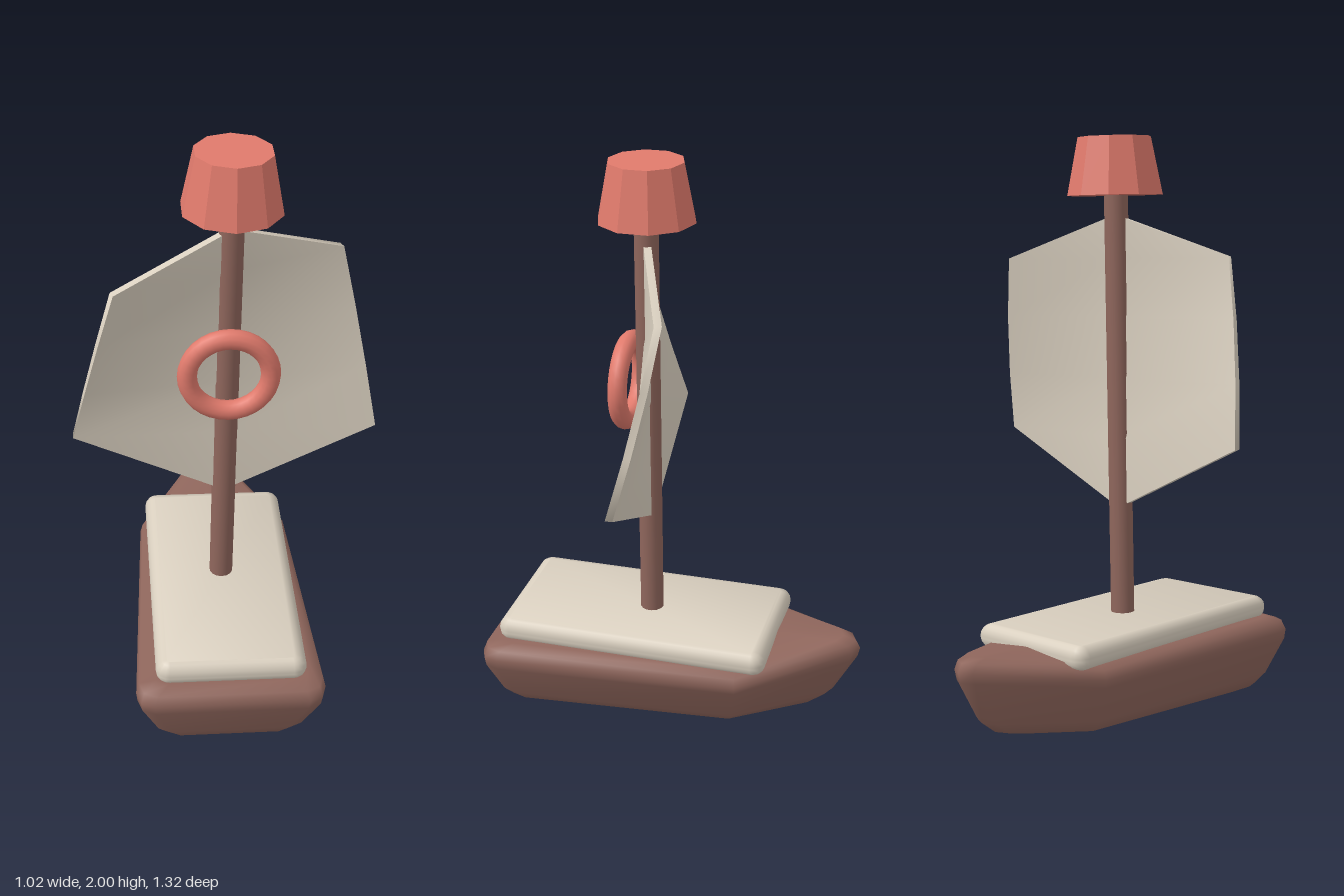
import * as THREE from 'three';

const mat = (name, color) => {
  const m = new THREE.MeshStandardMaterial({ color });
  m.name = name;
  return m;
};

// Hull lofted through horizontal outlines, rising toward the pointed bow (-z)
function hullGeometry() {
  // [stern z, stern half width, shoulder half width, shoulder z, bow z, y stern, y shoulder, y bow]
  const levels = [
    [0.55, 0.18, 0.14, -0.2, -0.42, 0.008, 0.024, 0.045],
    [0.59, 0.23, 0.185, -0.23, -0.51, 0.03, 0.045, 0.068],
    [0.612, 0.262, 0.22, -0.25, -0.57, 0.07, 0.085, 0.115],
    [0.652, 0.318, 0.272, -0.27, -0.652, 0.2, 0.215, 0.265],
    [0.656, 0.322, 0.276, -0.27, -0.66, 0.235, 0.24, 0.3],
    [0.643, 0.312, 0.268, -0.27, -0.645, 0.27, 0.272, 0.328],
    [0.6, 0.27, 0.235, -0.27, -0.6, 0.288, 0.29, 0.342],
  ];
  const pos = [], idx = [];
  for (const [zs, ws, wm, zm, zb, ys, ym, yb] of levels) {
    const half = [
      [ws - 0.06, ys, zs], [ws - 0.016, ys, zs - 0.02], [ws, ys, zs - 0.07],
      [wm, ym, zm], [0.045, yb, zb + 0.022],
    ];
    const mirrored = half.map(([x, y, z]) => [-x, y, z]).reverse();
    pos.push(...[...half, [0, yb, zb], ...mirrored].flat());
  }
  const n = 11, top = levels.length - 1;
  for (let l = 0; l < top; l++) {
    for (let i = 0; i < n; i++) {
      const j = (i + 1) % n, a = l * n + i, b = l * n + j;
      idx.push(a, b, b + n, a, b + n, a + n);
    }
  }
  const c = pos.length / 3;
  pos.push(0, 0.022, -0.15, 0, 0.32, -0.32);
  for (let i = 0; i < n; i++) {
    const j = (i + 1) % n;
    idx.push(c, j, i, c + 1, top * n + i, top * n + j);
  }
  const g = new THREE.BufferGeometry();
  g.setAttribute('position', new THREE.Float32BufferAttribute(pos, 3));
  g.setIndex(idx);
  g.computeVertexNormals();
  return g;
}

// Six-cornered thin sail whose upper corners are twisted about the mast
function sailGeometry() {
  // rows from top to bottom: [y, half width, twist]
  const rows = [
    [1.737, 0, 0.37], [1.592, 0.405, 0.37], [1.386, 0.441, 0.257],
    [1.179, 0.476, 0.143], [0.972, 0.512, 0.03], [0.727, 0, 0.03],
  ];
  const last = rows.length - 1;
  const g = new THREE.BoxGeometry(2, 1, 0.025, 2, last, 1);
  const p = g.attributes.position;
  for (let i = 0; i < p.count; i++) {
    const [y, w, a] = rows[Math.round((0.5 - p.getY(i)) * last)];
    const x = p.getX(i) * w, z = p.getZ(i);
    p.setXYZ(i, x * Math.cos(a) + z * Math.sin(a), y, z * Math.cos(a) - x * Math.sin(a));
  }
  g.computeVertexNormals();
  return g;
}

// Rounded slab: bevelled extrusion laid flat
function deckGeometry(w, h, d, r) {
  const x = w / 2 - r, z = d / 2 - r, c = 0.012;
  const s = new THREE.Shape();
  s.moveTo(-x + c, -z);
  s.lineTo(x - c, -z);
  s.quadraticCurveTo(x, -z, x, -z + c);
  s.lineTo(x, z - c);
  s.quadraticCurveTo(x, z, x - c, z);
  s.lineTo(-x + c, z);
  s.quadraticCurveTo(-x, z, -x, z - c);
  s.lineTo(-x, -z + c);
  s.quadraticCurveTo(-x, -z, -x + c, -z);
  const g = new THREE.ExtrudeGeometry(s, {
    depth: h - 2 * r, bevelEnabled: true, bevelSize: r, bevelThickness: r, bevelSegments: 4, curveSegments: 4,
  });
  g.translate(0, 0, -(h - 2 * r) / 2);
  g.rotateX(-Math.PI / 2);
  // smooth normals: push outward from the inner slab
  const p = g.attributes.position, nrm = g.attributes.normal, v = new THREE.Vector3();
  const lim = (q, m) => Math.max(-m, Math.min(m, q));
  for (let i = 0; i < p.count; i++) {
    v.fromBufferAttribute(p, i);
    v.set(v.x - lim(v.x, x - c), v.y - lim(v.y, h / 2 - r), v.z - lim(v.z, z - c)).normalize();
    nrm.setXYZ(i, v.x, v.y, v.z);
  }
  return g;
}

export function createModel() {
  const brown = mat('brown wood', 0x8f665c);
  const cream = mat('cream', 0xd9cfbf);
  const coral = mat('coral', 0xe07a6c);
  const boat = new THREE.Group();
  boat.name = 'sailboat';
  const add = (name, geo, material, x, y, z) => {
    const m = new THREE.Mesh(geo, material);
    m.name = name;
    m.position.set(x, y, z);
    boat.add(m);
    return m;
  };
  const mastZ = 0.1;

  add('hull', hullGeometry(), brown, 0, 0, 0);
  add('deck', deckGeometry(0.51, 0.08, 0.97, 0.036), cream, 0, 0.317, 0.12);
  add('mast', new THREE.CylinderGeometry(0.041, 0.041, 1.51, 14), brown, 0, 1.065, mastZ);
  add('sail', sailGeometry(), cream, 0, 0, mastZ);
  add('lifeRing', new THREE.TorusGeometry(0.137, 0.033, 12, 32), coral, 0, 1.236, 0.168);

  // Ten-sided faceted cap on the mast
  const cap = new THREE.CylinderGeometry(0.126, 0.165, 0.195, 10).toNonIndexed();
  cap.computeVertexNormals();
  add('mastCap', cap, coral, 0, 1.9, mastZ - 0.003);

  // The whole boat heels slightly to its left
  boat.rotation.z = -0.025;
  boat.position.x = -0.028;
  const model = new THREE.Group();
  model.name = 'model';
  model.add(boat);
  return model;
}
